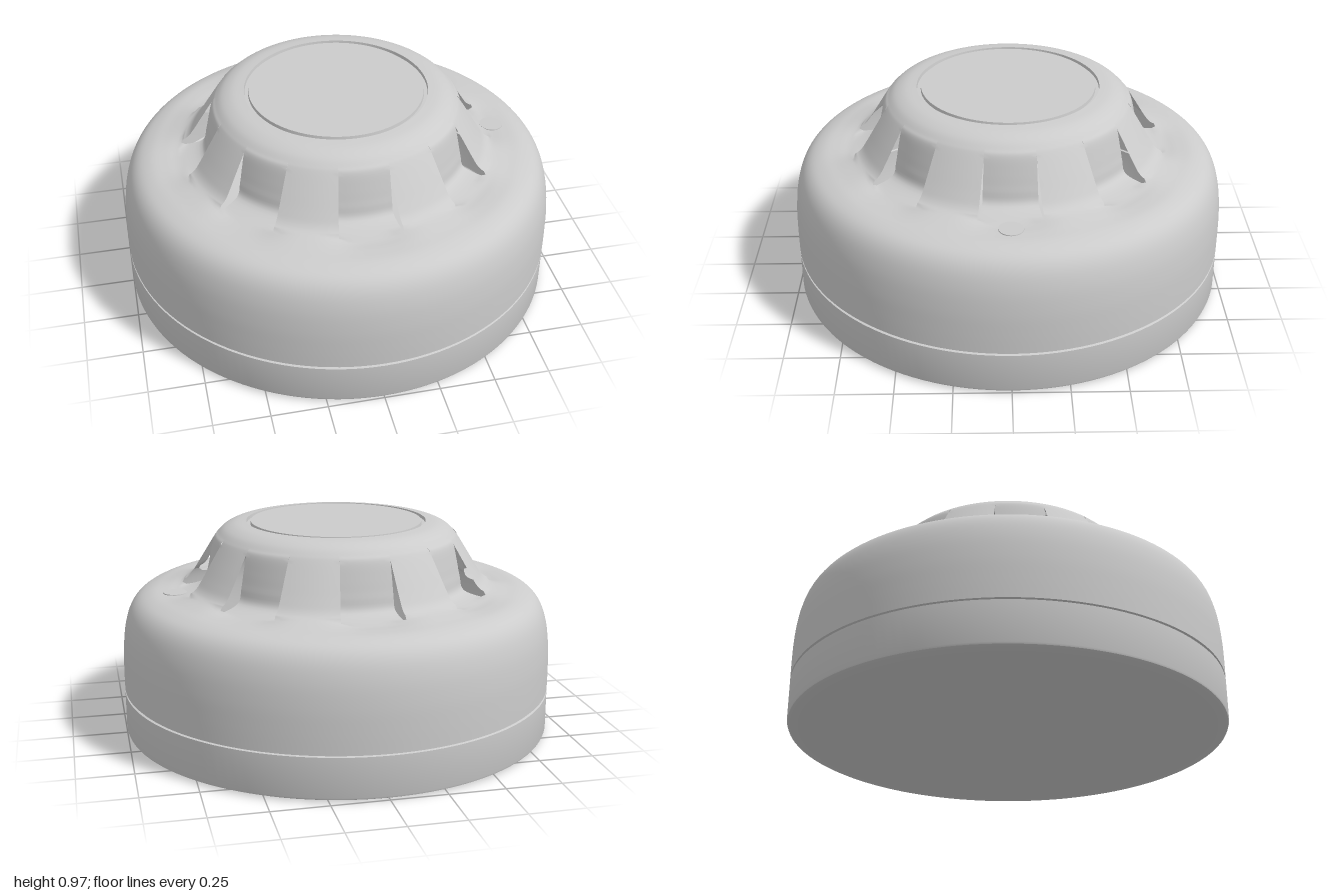
import * as THREE from 'three';
import { mergeVertices, toCreasedNormals } from 'three/addons/utils/BufferGeometryUtils.js';

const material = new THREE.MeshStandardMaterial({ color: 0xcccccc, side: THREE.DoubleSide });
const SECTORS = 16;   // alternating recessed panels and raised louvres
const STEPS = 8;      // angular steps per sector
const SUB = 5;        // spline steps between profile points
const SLIT_END = 8;   // profile index where the side slits close

const toVectors = (pairs) => pairs.map(([r, y]) => new THREE.Vector2(r, y));

function addMesh(group, name, geometry) {
  const mesh = new THREE.Mesh(geometry, material);
  mesh.name = name;
  group.add(mesh);
  return mesh;
}

function creasedLathe(pairs) {
  return toCreasedNormals(new THREE.LatheGeometry(toVectors(pairs), 128), 0.6);
}

// Upper shell: two profiles swept around the axis, split by slits between them
function housingGeometry() {
  const crown = [[0.415, 0.97], [0.47, 0.963], [0.515, 0.945], [0.545, 0.92], [0.565, 0.895]];
  const panel = [[0.583, 0.82], [0.598, 0.75], [0.62, 0.687], [0.72, 0.662], [0.79, 0.661]];
  const louvre = [[0.612, 0.82], [0.655, 0.75], [0.685, 0.708], [0.72, 0.687], [0.79, 0.67]];
  const skirt = [[0.86, 0.656], [0.92, 0.63], [0.96, 0.58], [0.985, 0.5], [0.997, 0.4], [1, 0.3], [1, 0.208]];
  const count = (crown.length + panel.length + skirt.length - 1) * SUB;
  const [inner, outer] = [panel, louvre].map((middle) => {
    const curve = new THREE.SplineCurve(toVectors([...crown, ...middle, ...skirt]));
    return curve.getPoints(count);
  });

  const positions = [];
  const indices = [];
  const sectorAngle = (Math.PI * 2) / SECTORS;
  for (let s = 0; s < SECTORS; s++) {
    const start = positions.length / 3;
    for (let j = 0; j <= STEPS; j++) {
      const angle = (s - 0.5 + j / STEPS) * sectorAngle;
      // Below the slits, panels and louvres fade into each other
      const wave = THREE.MathUtils.smoothstep(0.5 - 0.5 * Math.cos(angle * SECTORS / 2), 0, 1);
      for (let i = 0; i <= count; i++) {
        const blend = i < SLIT_END * SUB ? s % 2 : wave;
        const p = inner[i].clone().lerp(outer[i], blend);
        positions.push(p.x * Math.sin(angle), p.y, p.x * Math.cos(angle));
      }
    }
    for (let j = 0; j < STEPS; j++) {
      for (let i = 0; i < count; i++) {
        const a = start + j * (count + 1) + i;
        const d = a + count + 1;
        indices.push(a, a + 1, d + 1, a, d + 1, d);
      }
    }
  }
  const geometry = new THREE.BufferGeometry();
  geometry.setAttribute('position', new THREE.Float32BufferAttribute(positions, 3));
  geometry.setIndex(indices);
  const merged = mergeVertices(geometry, 1e-5);
  merged.computeVertexNormals();
  return merged;
}

export function createModel() {
  const model = new THREE.Group();
  model.name = 'smokeDetector';

  // Mounting base with rounded lower edge and a seam groove on top
  addMesh(model, 'mountingBase', creasedLathe([
    [0, 0], [0.95, 0], [0.985, 0.004], [0.997, 0.01], [1, 0.018],
    [1, 0.195], [0.99, 0.198], [0.99, 0.205], [1, 0.208],
  ]));

  // Domed cover with louvred vents
  addMesh(model, 'ventedHousing', housingGeometry());

  // Flat cap disc inside a narrow ring groove
  addMesh(model, 'topCap', creasedLathe([
    [0.415, 0.97], [0.413, 0.955], [0.397, 0.955], [0.395, 0.97], [0, 0.97],
  ]));

  // Small indicator lens on the shoulder
  const lens = addMesh(model, 'indicatorLens', new THREE.CylinderGeometry(0.054, 0.056, 0.02, 32));
  lens.position.set(0.755, 0.655, 0);

  return model;
}
